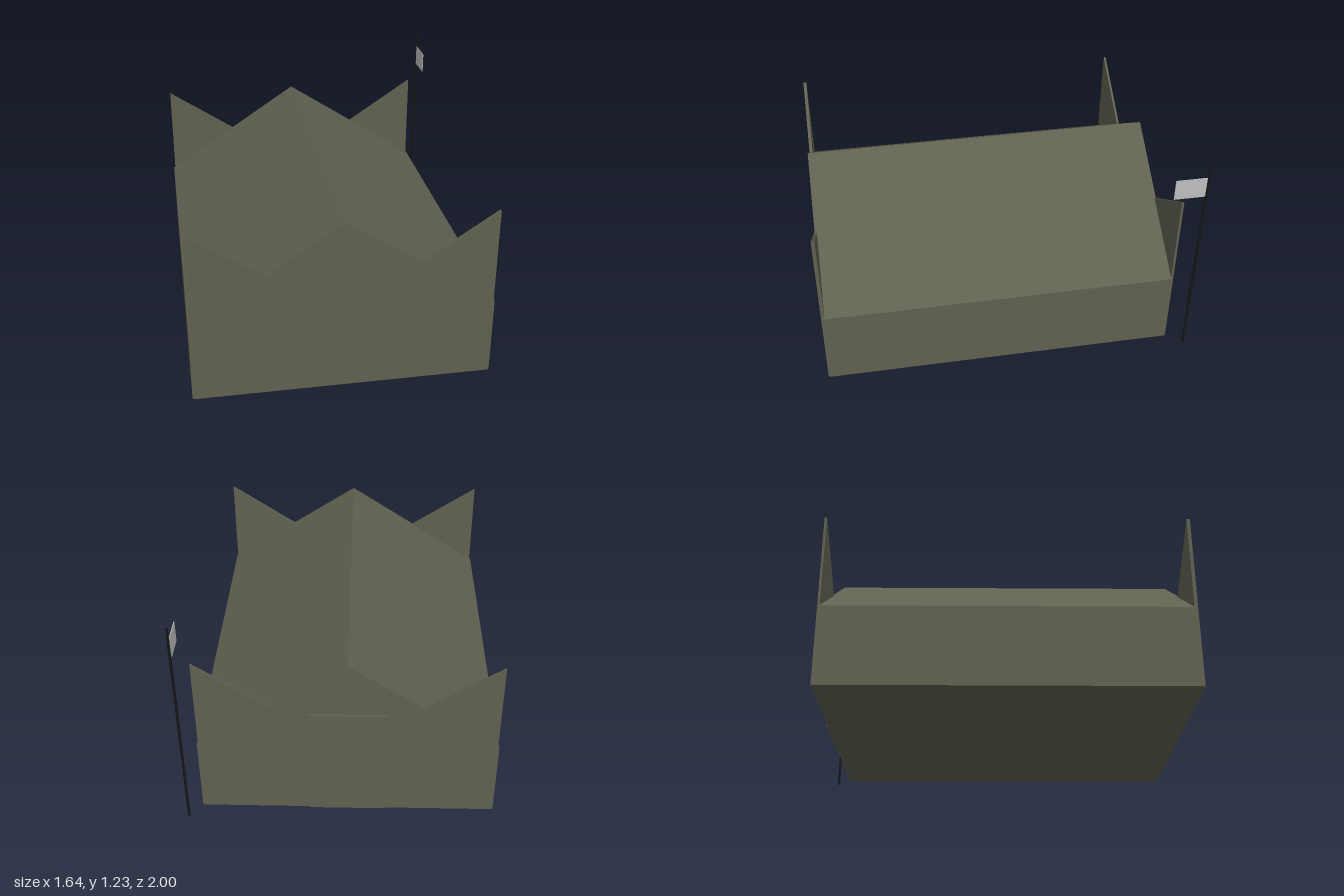
import * as THREE from 'three';

const LEFT = 0.75, RIGHT = -0.82, MID = -0.035; // box sides and ridge line in x
const EAVE = 0.43, PEAK = 0.95;

// Extrudes an outline in the xy plane between two z positions
function slab(name, points, zBack, zFront, material) {
  const shape = new THREE.Shape(points.map(([x, y]) => new THREE.Vector2(x, y)));
  const geometry = new THREE.ExtrudeGeometry(shape, { depth: zFront - zBack, bevelEnabled: false });
  geometry.translate(0, 0, zBack);
  const mesh = new THREE.Mesh(geometry, material);
  mesh.name = name;
  return mesh;
}

export function createModel() {
  const olive = new THREE.MeshStandardMaterial({ color: 0x606050 });
  olive.name = 'olive drab';
  const black = new THREE.MeshStandardMaterial({ color: 0x151515 });
  black.name = 'black';
  const grey = new THREE.MeshStandardMaterial({ color: 0xbebebe });
  grey.name = 'light grey';

  const model = new THREE.Group();
  model.name = 'tentShelter';

  // Walls and pitched roof
  model.add(slab('body', [
    [RIGHT, 0], [LEFT, 0], [LEFT, EAVE], [MID, PEAK], [RIGHT, EAVE],
  ], -0.908, 0.994, olive));

  // End panels with a V-shaped dip in the middle
  const panel = [
    [RIGHT + 0.008, 0], [LEFT - 0.008, 0], [LEFT - 0.008, PEAK],
    [MID, EAVE], [RIGHT + 0.008, PEAK],
  ];
  model.add(slab('frontPanel', panel, 0.982, 1.0, olive));
  model.add(slab('backPanel', panel, -0.913, -0.9, olive));

  // Raised entrance panel on the back
  model.add(slab('backDoor', [
    [-0.24, 0], [0.168, 0], [0.168, 0.645], [-0.24, 0.645],
  ], -0.92, -0.902, olive));

  // Free-standing flagpole with a flag flying forwards
  const pole = new THREE.Mesh(new THREE.CylinderGeometry(0.007, 0.007, 1.225, 12), black);
  pole.name = 'flagPole';
  pole.position.set(0.813, 0.6125, -0.993);
  const flag = new THREE.Mesh(new THREE.BoxGeometry(0.004, 0.115, 0.165), grey);
  flag.name = 'flag';
  flag.position.set(0.813, 1.09, -0.905);
  model.add(pole, flag);

  return model;
}
